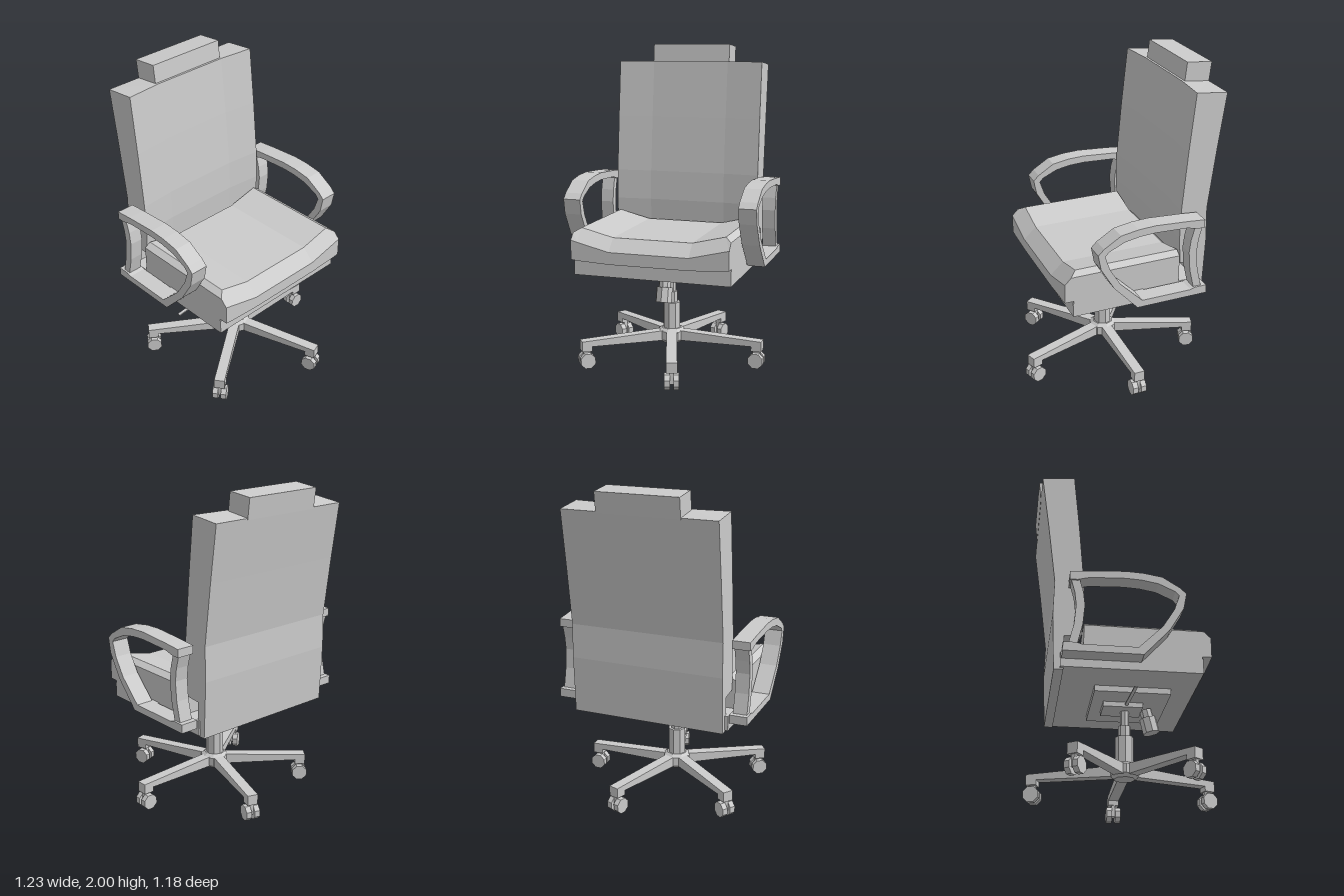
import * as THREE from 'three';

const material = new THREE.MeshStandardMaterial({ color: 0xcccccc, flatShading: true });

function add(parent, name, geometry, x = 0, y = 0, z = 0) {
  const mesh = new THREE.Mesh(geometry, material);
  mesh.name = name;
  mesh.position.set(x, y, z);
  parent.add(mesh);
  return mesh;
}

// Box given by its limits on each axis
function block(parent, name, [x0, x1], [y0, y1], [z0, z1]) {
  return add(parent, name, new THREE.BoxGeometry(x1 - x0, y1 - y0, z1 - z0),
    (x0 + x1) / 2, (y0 + y1) / 2, (z0 + z1) / 2);
}

// Side profile of [z, y] points, extruded from x0 to x1
function sideExtrude(points, x0, x1) {
  const shape = new THREE.Shape(points.map(([z, y]) => new THREE.Vector2(z, y)));
  return new THREE.ExtrudeGeometry(shape, { depth: x1 - x0, bevelEnabled: false })
    .rotateY(-Math.PI / 2).translate(x1, 0, 0);
}

// Skin over counter-clockwise [z, y] profiles placed at rising x stations
function loft(stations) {
  const pos = [];
  const put = (s, j) => {
    const [z, y] = s.profile[j % s.profile.length];
    pos.push(s.x, y, z);
  };
  for (let i = 0; i < stations.length - 1; i++) {
    const a = stations[i], b = stations[i + 1];
    for (let j = 0; j < a.profile.length; j++) {
      put(a, j); put(b, j); put(a, j + 1);
      put(a, j + 1); put(b, j); put(b, j + 1);
    }
  }
  const cap = (s, flip) => {
    const contour = s.profile.map(([z, y]) => new THREE.Vector2(z, y));
    for (const [a, b, c] of THREE.ShapeUtils.triangulateShape(contour, [])) {
      for (const k of flip ? [a, c, b] : [a, b, c]) put(s, k);
    }
  };
  cap(stations[0], false);
  cap(stations[stations.length - 1], true);
  const g = new THREE.BufferGeometry();
  g.setAttribute('position', new THREE.Float32BufferAttribute(pos, 3));
  g.computeVertexNormals();
  return g;
}

function buildSeat(parent) {
  const seat = new THREE.Group();
  seat.name = 'seat';
  parent.add(seat);
  // Dished cushion with a chamfered front: x, top z, top y, front edge y, lower lip y
  const half = [
    [0.25, 0.36, 0.85, 0.775, 0.70],
    [0.455, 0.36, 0.90, 0.825, 0.71],
    [0.495, 0.40, 0.875, 0.835, 0.715],
  ];
  const station = ([x, zt, yt, ym, yb], s) => ({
    x: s * x - 0.005,
    profile: [[-0.30, 0.65], [0.385, 0.65], [0.385, yb], [0.44, yb], [0.44, ym], [zt, yt], [-0.30, yt]],
  });
  add(seat, 'seatCushion', loft([
    ...half.slice().reverse().map((h) => station(h, -1)),
    ...half.map((h) => station(h, 1)),
  ]));
  block(seat, 'seatBase', [-0.5, 0.49], [0.61, 0.70], [-0.43, 0.39]);
  block(seat, 'mountingPlate', [-0.25, 0.26], [0.575, 0.61], [-0.21, 0.245]);
  block(seat, 'tiltHousing', [-0.09, 0.08], [0.545, 0.575], [-0.14, 0.10]);
}

function buildBackrest(parent) {
  const back = new THREE.Group();
  back.name = 'backrest';
  parent.add(back);
  // Front face is hollowed toward the middle by a small offset
  const profile = (d) => [
    [-0.41, 0.60], [-0.41, 0.81], [-0.31 - d, 0.82], [-0.30 - d, 0.98], [-0.305 - d, 1.17],
    [-0.337 - d, 1.53], [-0.375 - d, 1.89], [-0.57, 1.87], [-0.522, 1.53],
    [-0.475, 1.16], [-0.48, 0.95], [-0.465, 0.60],
  ].reverse().map(([z, y]) => [z, y]).reverse();
  // Order the outline counter-clockwise in the (z, y) plane
  add(back, 'backPanel', loft([[-0.48, 0], [-0.25, 0.02], [0.25, 0.02], [0.48, 0]]
    .map(([x, d]) => ({ x, profile: profile(d) }))));
  add(back, 'headrest', sideExtrude(
    [[-0.41, 1.87], [-0.425, 2.0], [-0.585, 1.985], [-0.57, 1.86]], -0.26, 0.255));
}

function buildArm(parent, side) {
  const arm = new THREE.Group();
  arm.name = side > 0 ? 'leftArmrest' : 'rightArmrest';
  parent.add(arm);
  const span = side > 0 ? [0.50, 0.61] : [-0.615, -0.505];
  const outer = [
    [-0.395, 1.155], [-0.285, 1.165], [-0.075, 1.178], [0.03, 1.173], [0.14, 1.155], [0.245, 1.09],
    [0.28, 1.055], [0.262, 0.96], [0.18, 0.82], [0.03, 0.657], [-0.425, 0.657],
  ];
  const inner = [
    [-0.425, 0.71], [-0.35, 0.71], [-0.32, 0.70], [0.0, 0.70], [0.14, 0.84], [0.207, 0.95],
    [0.237, 1.04], [0.215, 1.065], [0.117, 1.11], [0.02, 1.127], [-0.075, 1.132],
    [-0.28, 1.123], [-0.35, 1.105], [-0.395, 1.105],
  ];
  add(arm, 'armLoop', sideExtrude([...outer, ...inner], ...span));
  // Bowed rear upright between the two ends of the loop
  add(arm, 'armUpright', sideExtrude([
    [-0.34, 1.12], [-0.315, 1.03], [-0.305, 0.95], [-0.315, 0.83], [-0.345, 0.70],
    [-0.395, 0.70], [-0.365, 0.83], [-0.355, 0.95], [-0.365, 1.03], [-0.39, 1.12],
  ], span[0] + 0.012, span[1] - 0.012));
  block(arm, 'armBracket', side > 0 ? [0.48, 0.51] : [-0.515, -0.49], [0.66, 0.70], [-0.06, 0.01]);
}

function buildMechanism(parent) {
  const cylinder = (name, r, y0, y1) =>
    add(parent, name, new THREE.CylinderGeometry(r, r, y1 - y0, 8), 0, (y0 + y1) / 2, 0);
  cylinder('columnSleeve', 0.056, 0.18, 0.38);
  cylinder('columnCollar', 0.038, 0.38, 0.45);
  cylinder('gasPiston', 0.027, 0.45, 0.55);

  // Tension knob hanging forward below the housing
  const knob = new THREE.Group();
  knob.name = 'tensionKnob';
  knob.position.set(0, 0.56, 0.13);
  knob.rotation.x = -0.24;
  add(knob, 'knobNeck', new THREE.CylinderGeometry(0.038, 0.038, 0.06, 8), 0, -0.03, 0);
  add(knob, 'knobGrip', new THREE.CylinderGeometry(0.052, 0.052, 0.095, 8), 0, -0.1, 0);
  parent.add(knob);

  // Thin height lever
  const lever = add(parent, 'heightLever', new THREE.BoxGeometry(0.43, 0.008, 0.02), -0.285, 0.536, 0);
  lever.rotation.z = 0.12;
}

function buildBase(parent) {
  const base = new THREE.Group();
  base.name = 'starBase';
  parent.add(base);
  add(base, 'hub', new THREE.LatheGeometry([
    [0, 0.12], [0.065, 0.12], [0.088, 0.14], [0.088, 0.195], [0.065, 0.212], [0, 0.212],
  ].map(([r, y]) => new THREE.Vector2(r, y)), 8));

  const legShape = new THREE.Shape([
    [0.05, 0.135], [0.53, 0.14], [0.53, 0.11], [0.595, 0.11], [0.595, 0.175], [0.05, 0.2],
  ].map(([r, y]) => new THREE.Vector2(r, y)));
  const legGeometry = new THREE.ExtrudeGeometry(legShape, { depth: 0.066, bevelEnabled: false })
    .translate(0, 0, -0.033);
  const wheelGeometry = new THREE.CylinderGeometry(0.05, 0.05, 0.034, 8)
    .rotateY(Math.PI / 8).rotateX(Math.PI / 2);

  // Five legs, each with a twin-wheel caster
  for (let i = 0; i < 5; i++) {
    const leg = new THREE.Group();
    leg.name = 'leg' + (i + 1);
    leg.rotation.y = i * Math.PI * 2 / 5;
    add(leg, 'legBeam', legGeometry);
    add(leg, 'casterStem', new THREE.BoxGeometry(0.045, 0.08, 0.024), 0.56, 0.078, 0);
    for (const s of [-1, 1]) add(leg, 'casterWheel', wheelGeometry, 0.56, 0.05, s * 0.027);
    base.add(leg);
  }
}

export function createModel() {
  const chair = new THREE.Group();
  chair.name = 'officeChair';
  buildSeat(chair);
  buildBackrest(chair);
  buildArm(chair, 1);
  buildArm(chair, -1);
  buildMechanism(chair);
  buildBase(chair);
  return chair;
}
